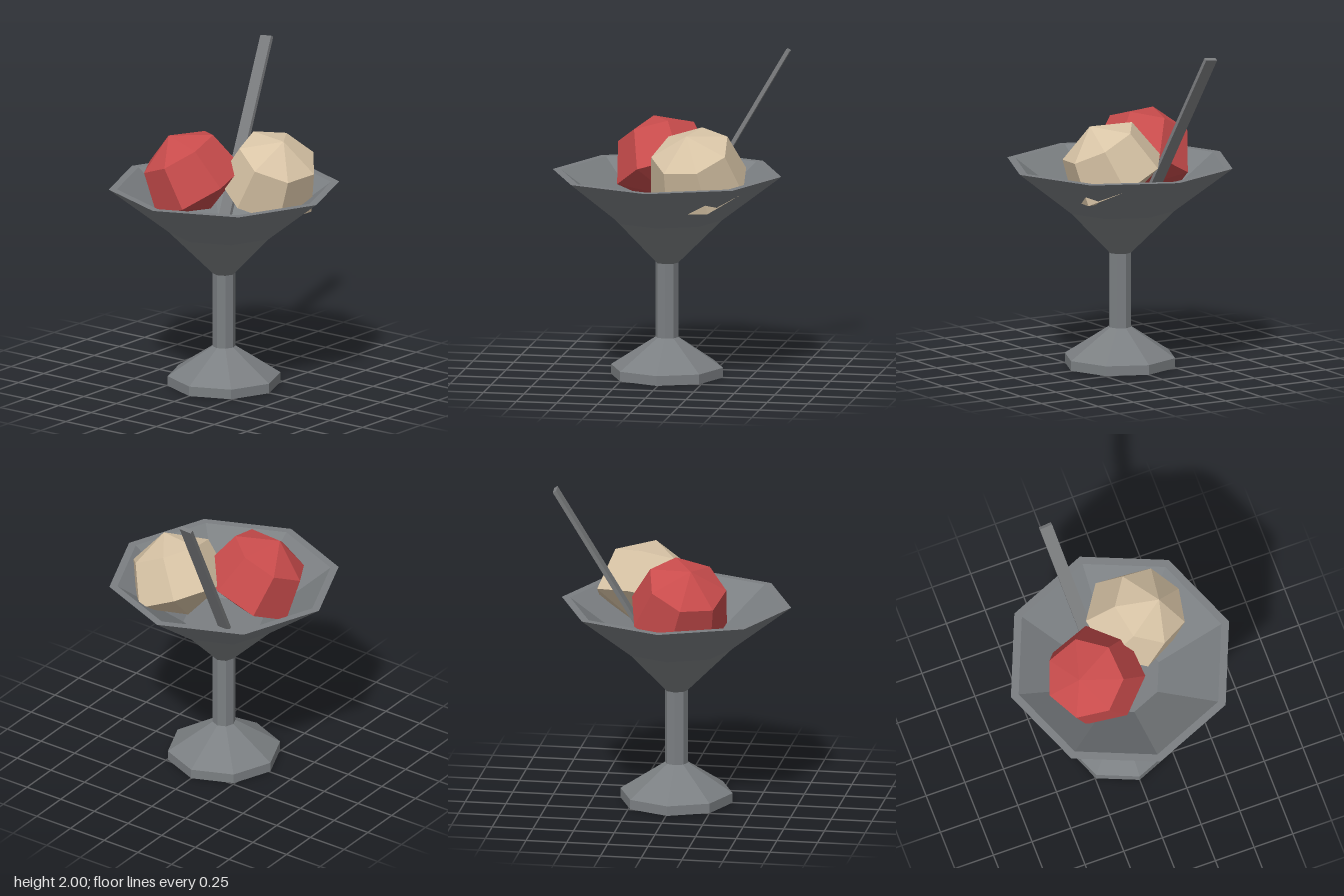
import * as THREE from 'three';

const V = (x, y, z) => new THREE.Vector3(x, y, z);

const glass = new THREE.MeshStandardMaterial({ name: 'grey glass', color: 0x7b7f82 });
const metal = new THREE.MeshStandardMaterial({ name: 'grey metal', color: 0x7b7d7f });
const red = new THREE.MeshStandardMaterial({ name: 'strawberry red', color: 0xc94c4c });
const cream = new THREE.MeshStandardMaterial({ name: 'vanilla cream', color: 0xd8c4a6 });

// Faceted turned part from [radius, height] points
function turned(name, points, sides, material) {
  const lathe = new THREE.LatheGeometry(points.map(([r, y]) => new THREE.Vector2(r, y)), sides);
  const geometry = lathe.toNonIndexed();
  geometry.computeVertexNormals();
  const mesh = new THREE.Mesh(geometry, material);
  mesh.name = name;
  return mesh;
}

// Seven-sided ball tilted along an axis, with one facet corner turned towards a point
function scoop(name, center, axis, corner, material) {
  const R = 0.314, step = Math.PI / 3.5;
  const ring = (i) => [R * Math.sin(i * step), R * Math.cos(i * step)];
  const mesh = turned(name, [[0, -0.21], ring(2), ring(1), [0, R]], 7, material);
  const y = axis.clone().normalize();
  const z = corner.clone().sub(center).projectOnPlane(y).normalize();
  const x = y.clone().cross(z);
  mesh.quaternion.setFromRotationMatrix(new THREE.Matrix4().makeBasis(x, y, z));
  mesh.position.copy(center);
  return mesh;
}

export function createModel() {
  const model = new THREE.Group();
  model.name = 'sundae';

  // Eight-sided goblet
  const goblet = new THREE.Group();
  goblet.name = 'goblet';
  goblet.position.z = 0.007;
  goblet.add(
    turned('foot', [[0, 0], [0.345, 0], [0.345, 0.06], [0.07, 0.24]], 8, glass),
    turned('stem', [[0.07, 0.24], [0.07, 0.7]], 8, glass),
    turned('bowl', [[0.07, 0.7], [0.34, 0.97], [0.705, 1.25], [0.655, 1.25], [0.25, 0.96], [0, 0.96]], 8, glass),
  );
  model.add(goblet);

  // Ice cream
  model.add(
    scoop('redScoop', V(-0.19, 1.268, 0.06), V(-0.4, 0.875, 0.28), V(-0.2, 1.41, 0.35), red),
    scoop('creamScoop', V(0.18, 1.263, -0.216), V(0.44, 0.885, 0.14), V(0.05, 1.55, -0.22), cream),
  );

  // Spoon handle leaning over the back rim
  const bottom = V(-0.1, 1.0, -0.13), top = V(-0.22, 1.994, -0.702);
  const y = top.clone().sub(bottom);
  const length = y.length();
  y.normalize();
  const x = V(1, 0, 0).projectOnPlane(y).normalize();
  const z = x.clone().cross(y);
  const spoon = new THREE.Mesh(new THREE.BoxGeometry(0.08, length, 0.024), metal);
  spoon.name = 'spoonHandle';
  spoon.quaternion.setFromRotationMatrix(new THREE.Matrix4().makeBasis(x, y, z));
  spoon.position.copy(bottom).lerp(top, 0.5);
  model.add(spoon);

  return model;
}
